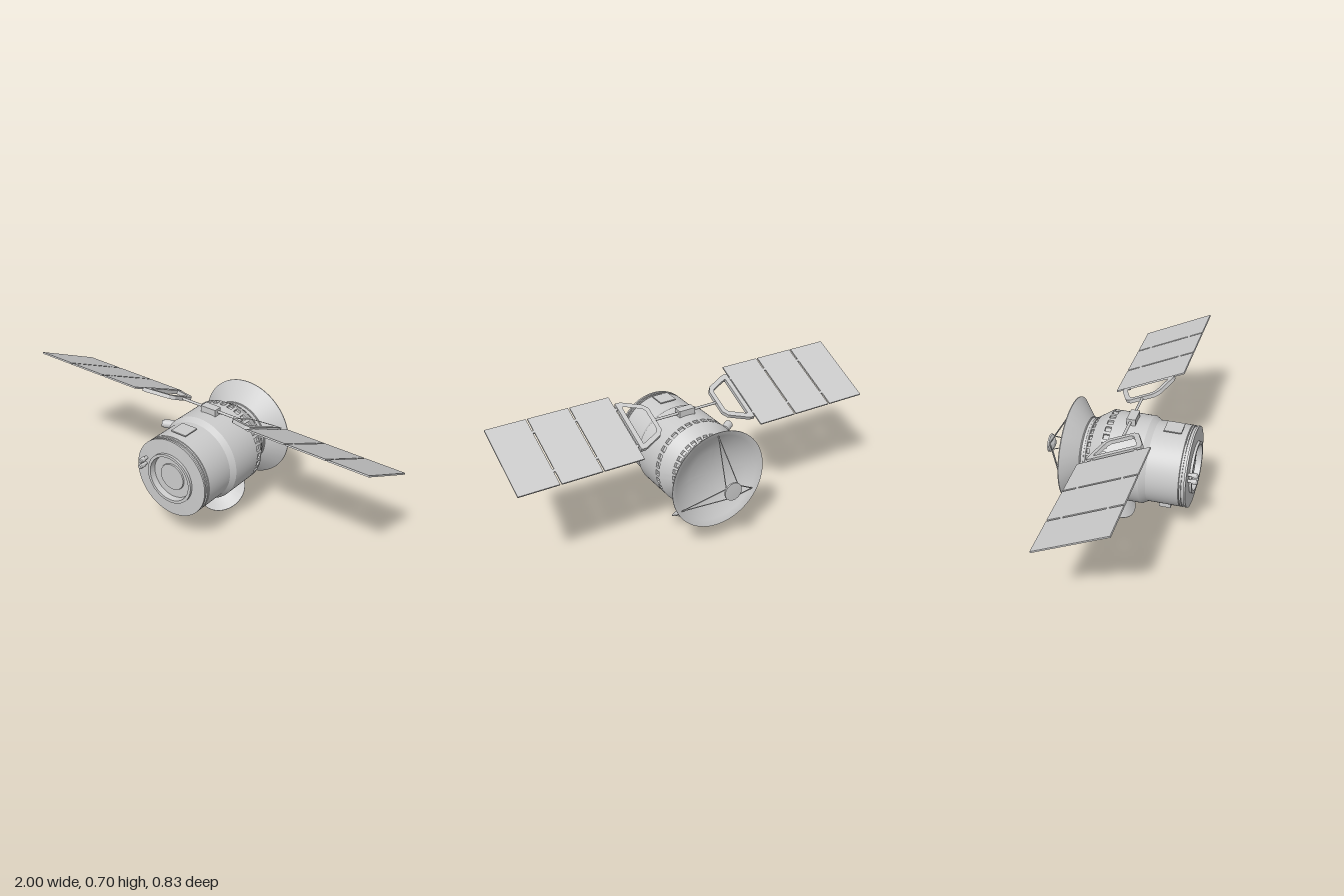
import * as THREE from 'three';
import { toCreasedNormals } from 'three/addons/utils/BufferGeometryUtils.js';

const grey = new THREE.MeshStandardMaterial({ color: 0xcccccc });
const greyDouble = new THREE.MeshStandardMaterial({ color: 0xcccccc, side: THREE.DoubleSide });
const AXIS_Y = 0.37;

function add(parent, name, geometry, x = 0, y = 0, z = 0, material = grey) {
  const mesh = new THREE.Mesh(geometry, material);
  mesh.name = name;
  mesh.position.set(x, y, z);
  parent.add(mesh);
  return mesh;
}

function box(parent, name, w, h, d, x, y, z) {
  return add(parent, name, new THREE.BoxGeometry(w, h, d), x, y, z);
}

// Solid of revolution about z from [radius, z] pairs
function lathe(points, segments = 96) {
  const g = new THREE.LatheGeometry(points.map(p => new THREE.Vector2(p[0], p[1])), segments);
  g.rotateX(Math.PI / 2);
  return toCreasedNormals(g, 0.4);
}

// Cylinder between two points
function rod(parent, name, a, b, r, sides = 8) {
  const from = new THREE.Vector3(...a), to = new THREE.Vector3(...b);
  const dir = to.clone().sub(from);
  const mesh = add(parent, name, new THREE.CylinderGeometry(r, r, dir.length(), sides));
  mesh.position.copy(from).add(to).multiplyScalar(0.5);
  mesh.quaternion.setFromUnitVectors(new THREE.Vector3(0, 1, 0), dir.normalize());
  return mesh;
}

// Toothed ring whose gaps form a row of recessed windows; tapers from rBack to rFront
function windowRing(parent, name, rBack, rFront, zBack, zFront, count = 32) {
  const shape = new THREE.Shape();
  const step = (Math.PI * 2) / count;
  const floor = (rBack - 0.012) / rBack;
  for (let i = 0; i < count; i++) {
    for (let j = 0; j < 8; j++) {
      const tooth = j < 4;
      const t = tooth ? (j / 3) * 0.36 : 0.36 + ((j - 4) / 3) * 0.64;
      const a = (i - 0.18 + t) * step + step / 2;
      const r = tooth ? 1 : floor;
      const x = Math.cos(a) * r * rBack, y = Math.sin(a) * r * rBack;
      if (i + j === 0) shape.moveTo(x, y); else shape.lineTo(x, y);
    }
  }
  const g = new THREE.ExtrudeGeometry(shape, { depth: zFront - zBack, bevelEnabled: false });
  const p = g.attributes.position;
  for (let i = 0; i < p.count; i++) {
    const s = p.getZ(i) > 1e-4 ? rFront / rBack : 1;
    p.setXY(i, p.getX(i) * s, p.getY(i) * s);
  }
  g.computeVertexNormals();
  add(parent, name, toCreasedNormals(g, 0.4), 0, 0, zBack);
}

// Dish opening towards local +z with its rim at z = 0, and a six-strut feed
function antenna(name, bowl, footRadius, footZ, hubRadius, hubZ, strutRadius) {
  const g = new THREE.Group();
  g.name = name;
  add(g, name + 'Bowl', lathe(bowl), 0, 0, 0, greyDouble);
  add(g, name + 'Hub', lathe([[0, -0.55], [0.4, -0.5], [0.7, -0.3], [1, -0.1], [1, 0.08], [0, 0.12]]
    .map(q => [q[0] * hubRadius, hubZ + q[1] * hubRadius]), 32));
  const at = (r, deg, z) => {
    const a = THREE.MathUtils.degToRad(deg);
    return [r * Math.cos(a), r * Math.sin(a), z];
  };
  for (const deg of [90, 210, 330])
    for (const turn of [-60, 60])
      rod(g, name + 'Strut', at(footRadius, deg, footZ),
        at(hubRadius * 0.85, deg + turn, hubZ - hubRadius * 0.15), strutRadius, 6);
  return g;
}

// Tilted wing of three panels on a trapezoid yoke; s = +1 or -1
function wing(s) {
  const g = new THREE.Group();
  g.name = s > 0 ? 'leftSolarWing' : 'rightSolarWing';
  const toPath = (pts, Path) => new Path(
    [...pts, ...pts.map(([x, z]) => [x, -z]).reverse()].map(([x, z]) => new THREE.Vector2(x * s, z)));
  const frame = toPath([[0.333, -0.15], [0.305, -0.15], [0.2, -0.1], [0.18, -0.07]], THREE.Shape);
  frame.holes.push(toPath([[0.308, -0.118], [0.298, -0.118], [0.215, -0.078], [0.203, -0.06]], THREE.Path));
  const yoke = new THREE.ExtrudeGeometry(frame, { depth: 0.02, bevelEnabled: false });
  yoke.rotateX(Math.PI / 2);
  add(g, 'yoke', yoke, 0, 0.01, 0);
  for (const [x0, x1] of [[0.342, 0.557], [0.566, 0.78], [0.789, 1]]) {
    box(g, 'solarPanel', x1 - x0, 0.008, 0.405, s * (x0 + x1) / 2, 0, 0);
    for (const z of [-0.12, 0.12])
      box(g, 'panelHinge', 0.022, 0.008, 0.014, s * (x0 - 0.005), 0, z);
  }
  rod(g, 'wingShaft', [s * 0.03, 0, 0], [s * 0.19, 0, 0], 0.007, 12);
  return g;
}

export function createModel() {
  const model = new THREE.Group();
  model.name = 'spaceTelescopeSatellite';

  // Main body around the z axis, with grooves for the window rings
  const body = new THREE.Group();
  body.name = 'body';
  body.position.y = AXIS_Y;
  model.add(body);
  add(body, 'hull', lathe([
    [0, -0.2], [0.166, -0.2], [0.173, -0.197], [0.173, -0.193], [0.169, -0.191], [0.169, -0.178],
    [0.173, -0.176], [0.173, -0.167], [0.1766, -0.163], [0.163, -0.163], [0.174, -0.145],
    [0.1885, -0.145], [0.228, -0.085], [0.228, -0.08], [0.215, -0.08], [0.215, -0.05], [0.228, -0.05],
    [0.228, 0.13], [0.211, 0.16], [0.211, 0.328], [0.205, 0.33], [0.205, 0.333], [0.211, 0.333],
    [0.211, 0.342], [0.204, 0.342], [0.204, 0.355], [0.211, 0.355], [0.211, 0.365], [0.135, 0.367],
    [0.135, 0.38], [0.12, 0.38], [0.115, 0.35], [0.072, 0.35], [0.07, 0.357], [0, 0.357],
  ], 128));
  windowRing(body, 'largeWindowRing', 0.228, 0.228, -0.08, -0.05);
  windowRing(body, 'smallWindowRing', 0.1766, 0.1885, -0.163, -0.145);

  // Large rear dish
  const mainDish = antenna('mainDish', [
    [0, 0.078], [0.168, 0.078], [0.178, 0.07], [0.262, 0.004], [0.266, 0], [0.266, -0.004], [0.258, -0.002],
    [0.235, 0.012], [0.19, 0.036], [0.14, 0.056], [0.07, 0.07], [0, 0.075],
  ].map(([r, d]) => [r, -d]), 0.243, -0.005, 0.048, 0.133, 0.0028);
  mainDish.position.set(0, AXIS_Y, -0.275);
  mainDish.rotation.y = Math.PI;
  model.add(mainDish);

  // Small tilted dish below
  const lowerDish = antenna('lowerDish', [
    [0, -0.044], [0.035, -0.041], [0.07, -0.031], [0.1, -0.016], [0.128, -0.001], [0.128, 0.002],
    [0.1, -0.012], [0.07, -0.027], [0.035, -0.037], [0, -0.04],
  ], 0.124, 0, 0.024, 0.058, 0.0015);
  lowerDish.position.set(0, 0.076, -0.0575);
  lowerDish.rotation.set(-1, Math.PI, 0);
  model.add(lowerDish);
  rod(lowerDish, 'lowerDishFeed', [0, 0, -0.04], [0, 0, 0.014], 0.013, 16);
  rod(model, 'lowerDishArm', [0, 0.155, 0.03], [0, 0.1, -0.005], 0.009, 12);
  rod(model, 'lowerDishArm', [0, 0.16, -0.034], [0, 0.105, -0.046], 0.008, 12);
  box(model, 'lowerSensor', 0.008, 0.008, 0.008, 0, 0.004, 0.007);

  // Solar wings and their drive box
  const wings = new THREE.Group();
  wings.name = 'solarWings';
  wings.position.set(0, 0.612, 0.0375);
  wings.rotation.x = -0.447;
  wings.add(wing(1), wing(-1));
  model.add(wings);
  box(model, 'wingDriveBox', 0.09, 0.045, 0.046, 0, 0.607, 0.041);

  // Top hatch plate and lower equipment box
  box(model, 'topHatchBase', 0.05, 0.02, 0.05, 0, 0.581, 0.255);
  box(model, 'topHatchPlate', 0.09, 0.006, 0.09, 0, 0.593, 0.255);
  box(model, 'lowerBox', 0.125, 0.045, 0.062, 0, 0.1475, 0.231);
  box(model, 'lowerBoxFlange', 0.135, 0.01, 0.078, 0, 0.165, 0.231);

  // Capped sensor tubes on the front face
  for (const [x, y] of [[-0.153, 0.432], [-0.158, 0.398]]) {
    add(model, 'frontSensor', lathe([[0, 0.36], [0.009, 0.36], [0.009, 0.385], [0.013, 0.385],
      [0.013, 0.41], [0.009, 0.416], [0, 0.417]], 20), x, y, 0);
  }

  // Star trackers on the right flank
  for (const [y, z, tip] of [[0.44, 0.055, 0.03], [0.337, 0.02, -0.025]]) {
    rod(model, 'trackerStem', [-0.205, y, 0.035], [-0.255, y, z], 0.01, 12);
    rod(model, 'trackerHead', [-0.242, y - 0.003, z - tip * 0.5], [-0.288, y + 0.003, z + tip * 0.5], 0.023, 20);
    rod(model, 'trackerCap', [-0.28, y + 0.002, z + tip * 0.4], [-0.295, y + 0.004, z + tip * 0.7], 0.017, 20);
  }
  box(model, 'trackerBase', 0.03, 0.13, 0.05, -0.215, 0.39, 0.035);

  return model;
}
